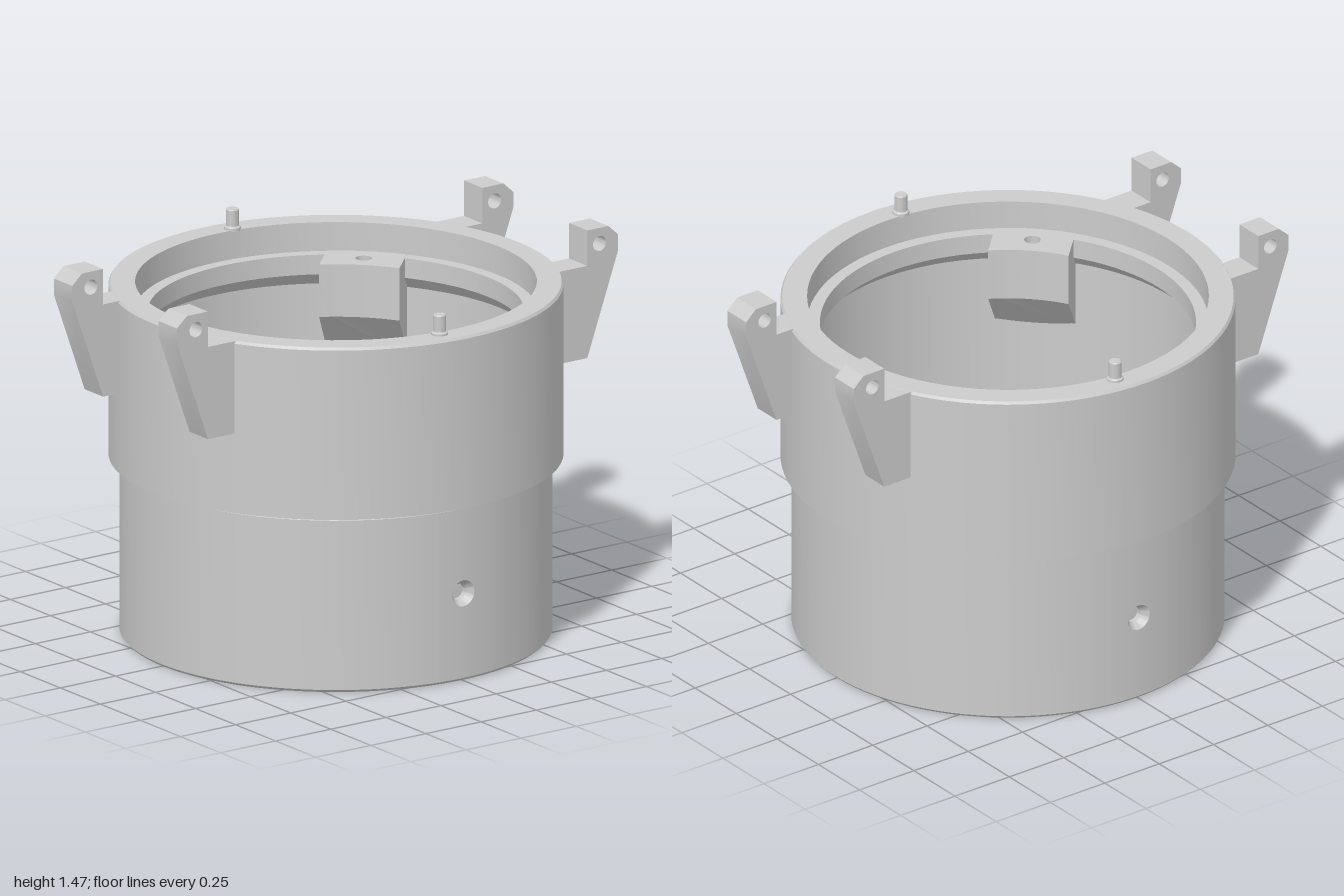
import * as THREE from 'three';
import { toCreasedNormals } from 'three/addons/utils/BufferGeometryUtils.js';

const SEG = 96;
const R = 0.795;            // lower outer radius
const LOW = 0.01, HIGH = 0.66;
const HOLE_Y = 0.335, HOLE_R = 0.05;
const HALF = Math.PI / 12;  // half angle of the wall panel holding a screw hole

const material = new THREE.MeshStandardMaterial({ color: 0xcccccc });

function add(parent, name, geometry) {
  const mesh = new THREE.Mesh(geometry, material);
  mesh.name = name;
  parent.add(mesh);
  return mesh;
}

function lathe(points, segments = SEG, start = 0, length = Math.PI * 2) {
  const profile = points.map(([x, y]) => new THREE.Vector2(x, y));
  return toCreasedNormals(new THREE.LatheGeometry(profile, segments, start, length), 0.5);
}

// Curved wall panel around +x, blending from a round hole out to a rectangle
function holedPanel() {
  const N = 32, M = 6, pos = [], nor = [], index = [];
  const midY = (LOW + HIGH) / 2, halfY = (HIGH - LOW) / 2;
  for (let j = 0; j <= M; j++) {
    for (let i = 0; i <= N; i++) {
      const a = (i / N) * Math.PI * 2, c = Math.cos(a), s = Math.sin(a);
      const m = Math.max(Math.abs(c), Math.abs(s)), t = j / M;
      const phi = Math.PI / 2 + THREE.MathUtils.lerp((HOLE_R * c) / R, (HALF * c) / m, t);
      const y = THREE.MathUtils.lerp(HOLE_Y + HOLE_R * s, midY + (halfY * s) / m, t);
      pos.push(R * Math.sin(phi), y, R * Math.cos(phi));
      nor.push(Math.sin(phi), 0, Math.cos(phi));
      if (j < M && i < N) {
        const p = j * (N + 1) + i, q = p + N + 1;
        index.push(p, q, q + 1, p, q + 1, p + 1);
      }
    }
  }
  const g = new THREE.BufferGeometry();
  g.setAttribute('position', new THREE.Float32BufferAttribute(pos, 3));
  g.setAttribute('normal', new THREE.Float32BufferAttribute(nor, 3));
  g.setIndex(index);
  return g;
}

// Block on the inner wall along +x: parallel sides, arc faces,
// with top and bottom heights given as functions of radius
function wallBlock(rIn, rOut, width, bottom, top, holeAt) {
  const a = Math.asin(width / 2 / rOut), b = Math.asin(width / 2 / rIn);
  const shape = new THREE.Shape();
  shape.absarc(0, 0, rOut, -a, a, false);
  shape.absarc(0, 0, rIn, b, -b, true);
  shape.closePath();
  if (holeAt) shape.holes.push(new THREE.Path().absarc(holeAt, 0, 0.03, 0, Math.PI * 2, true));
  const g = new THREE.ExtrudeGeometry(shape, { depth: 1, bevelEnabled: false, curveSegments: 16 });
  g.rotateX(-Math.PI / 2);
  const p = g.attributes.position;
  for (let i = 0; i < p.count; i++) {
    const r = Math.hypot(p.getX(i), p.getZ(i));
    p.setY(i, p.getY(i) > 0.5 ? top(r) : bottom(r));
  }
  return toCreasedNormals(g, 0.5);
}

// Side profile of a hinge lug in z and y, with a pin hole
function lugGeometry() {
  const shape = new THREE.Shape([
    [0.72, 0.98], [0.86, 0.98], [1, 1.37], [1, 1.43],
    [0.955, 1.47], [0.86, 1.47], [0.86, 1.334], [0.72, 1.334],
  ].map(([z, y]) => new THREE.Vector2(z, y)));
  shape.holes.push(new THREE.Path().absarc(0.915, 1.41, 0.029, 0, Math.PI * 2, true));
  const g = new THREE.ExtrudeGeometry(shape, { depth: 0.115, bevelEnabled: false, curveSegments: 16 });
  return toCreasedNormals(g.rotateY(-Math.PI / 2), 0.5);
}

export function createModel() {
  const model = new THREE.Group();
  model.name = 'steppedCollar';

  // Wide upper band, rim, inner ledge, bore and bottom edge in one profile
  add(model, 'collarBody', lathe([
    [R, HIGH], [0.786, 0.668], [0.786, 0.675], [0.835, 0.675], [0.835, 1.325],
    [0.828, 1.335], [0.737, 1.335], [0.737, 1.225], [0.69, 1.225], [0.69, 1.15],
    [0.74, 1.1], [0.74, 0], [0.786, 0], [R, LOW],
  ]));

  const lug = lugGeometry();
  const panel = holedPanel();
  // Countersunk blind screw hole, turned to point along +x
  const screwHole = lathe([[0, 0.747], [0.03, 0.747], [0.03, 0.768], [HOLE_R, R]].reverse(), 32)
    .rotateZ(-Math.PI / 2).translate(0, HOLE_Y, 0);
  const pin = lathe([
    [0.031, 1.33], [0.031, 1.342], [0.024, 1.348], [0.024, 1.408], [0.021, 1.412], [0, 1.412],
  ], 24);

  const screwBlock = wallBlock(0.593, 0.746, 0.28, () => 0.01, (r) => 0.39 + (r - 0.593));
  const upperBlock = wallBlock(0.564, 0.76, 0.298, () => 1.1, () => 1.226, 0.65);
  const lowerBlock = wallBlock(0.564, 0.76, 0.298, (r) => 1.025 - (r - 0.564), () => 1.1);

  // Everything else repeats after half a turn
  for (const [side, turn] of [['left', 0], ['right', Math.PI]]) {
    const half = new THREE.Group();
    half.name = side + 'Half';
    half.rotation.y = turn;
    model.add(half);

    add(half, 'lowerWall', lathe([[R, LOW], [R, HIGH]], 40, Math.PI / 2 + HALF, Math.PI - 2 * HALF));
    add(half, 'screwHolePanel', panel);
    add(half, 'screwHole', screwHole);
    add(half, 'screwBlock', screwBlock);

    // Diagonal mounting block with a blind hole in its top
    const mount = new THREE.Group();
    mount.name = 'mountingBlock';
    mount.rotation.y = -Math.PI / 4;
    half.add(mount);
    add(mount, 'mountingBlockTop', upperBlock);
    add(mount, 'mountingBlockBase', lowerBlock);

    add(half, 'locatingPin', pin).position.set(0.757, 0, 0.08);

    for (const x of [0.385, -0.27]) add(half, 'hingeLug', lug).position.x = x;
  }
  return model;
}
